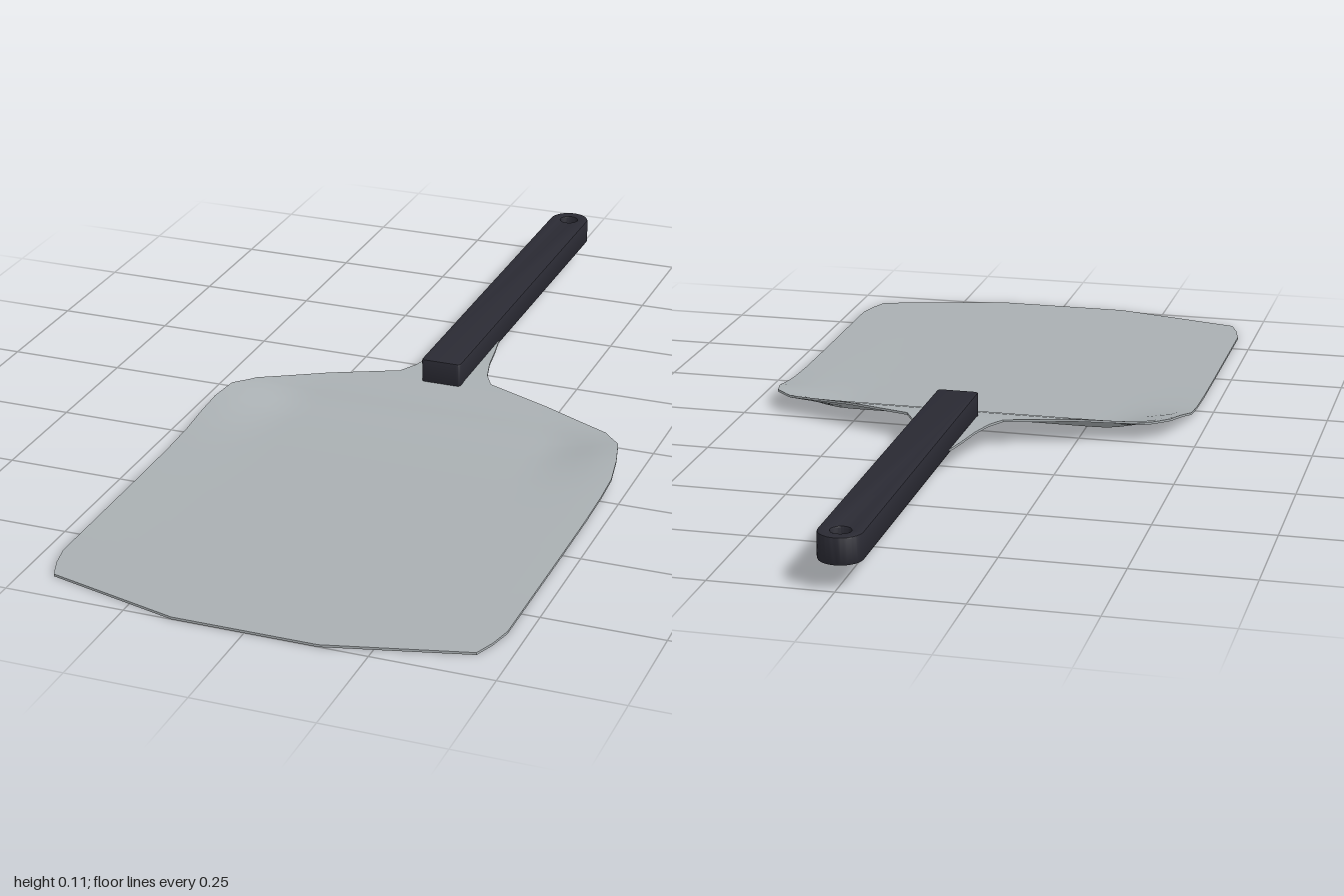
import * as THREE from 'three';
import { toCreasedNormals } from 'three/addons/utils/BufferGeometryUtils.js';

// Linear lookup in a list of [z, value] pairs
function lookup(table, z) {
  for (let i = 1; i < table.length; i++) {
    const [z0, v0] = table[i - 1], [z1, v1] = table[i];
    if (z <= z1) return v0 + ((v1 - v0) * (z - z0)) / (z1 - z0);
  }
  return table[table.length - 1][1];
}

// Half width of the blade outline, tang to front edge
const OUTLINE = [
  [-0.32, 0.044], [-0.26, 0.056], [-0.19, 0.067], [-0.13, 0.083], [-0.09, 0.105],
  [-0.035, 0.25], [0.02, 0.4], [0.06, 0.44], [0.12, 0.455], [0.18, 0.463],
  [0.83, 0.463], [0.88, 0.452], [0.925, 0.435], [1, 0.15],
];
// Height of the top face along the middle, and along the curled sides
const MIDDLE = [
  [-0.32, 0.06], [-0.09, 0.058], [-0.035, 0.053], [0, 0.044], [0.03, 0.028],
  [0.06, 0.013], [0.1, 0.007], [0.18, 0.005], [1, 0.005],
];
const SIDES = [
  [-0.32, 0.06], [-0.09, 0.058], [-0.035, 0.055], [0.02, 0.044], [0.07, 0.04],
  [0.12, 0.032], [0.18, 0.018], [0.25, 0.01], [0.35, 0.006], [0.5, 0.005], [1, 0.005],
];
const THICKNESS = 0.005;

function topHeight(x, z) {
  const curl = THREE.MathUtils.smoothstep(Math.abs(x), 0.28, 0.46);
  return THREE.MathUtils.lerp(lookup(MIDDLE, z), lookup(SIDES, z), curl);
}

// Thin sheet made of closed cross-section loops along z
function bladeGeometry() {
  const zs = [...new Set([...OUTLINE, ...MIDDLE, ...SIDES].map((p) => p[0]))].sort((a, b) => a - b);
  const cols = 33, ring = cols * 2, positions = [], index = [];
  for (const z of zs) {
    const w = lookup(OUTLINE, z);
    for (let k = 0; k < ring; k++) {
      const isTop = k < cols;
      const j = isTop ? k : ring - 1 - k;
      const x = w * ((2 * j) / (cols - 1) - 1);
      positions.push(x, topHeight(x, z) - (isTop ? 0 : THICKNESS), z);
    }
  }
  for (let i = 0; i < zs.length - 1; i++) {
    for (let k = 0; k < ring; k++) {
      const a = i * ring + k, c = i * ring + ((k + 1) % ring);
      index.push(a, a + ring, c, c, a + ring, c + ring);
    }
  }
  // Front and back edges
  const last = (zs.length - 1) * ring;
  for (let k = 0; k < cols - 1; k++) {
    const t = k, b = ring - 1 - k;
    index.push(last + b, last + b - 1, last + t, last + t, last + b - 1, last + t + 1);
    index.push(b, t, b - 1, t, t + 1, b - 1);
  }
  const geometry = new THREE.BufferGeometry();
  geometry.setAttribute('position', new THREE.Float32BufferAttribute(positions, 3));
  geometry.setIndex(index);
  return toCreasedNormals(geometry, 0.7);
}

// Bar with a round back end and a hanging hole
function handleGeometry() {
  const bevel = 0.004, w = 0.045 - bevel, front = -0.06 - bevel, back = -1 + bevel, r = 0.005;
  const shape = new THREE.Shape();
  shape.moveTo(w, back + w);
  shape.lineTo(w, front - r);
  shape.quadraticCurveTo(w, front, w - r, front);
  shape.lineTo(-w + r, front);
  shape.quadraticCurveTo(-w, front, -w, front - r);
  shape.lineTo(-w, back + w);
  shape.absarc(0, back + w, w, Math.PI, Math.PI * 2, false);
  const hole = new THREE.Path();
  hole.absarc(0, -0.955, 0.02 + bevel, 0, Math.PI * 2, true);
  shape.holes.push(hole);
  const geometry = new THREE.ExtrudeGeometry(shape, {
    depth: 0.056 - 2 * bevel, bevelEnabled: true, bevelThickness: bevel,
    bevelSize: bevel, bevelSegments: 2, curveSegments: 12,
  });
  geometry.rotateX(Math.PI / 2);
  geometry.translate(0, 0.107 - bevel, 0);
  return toCreasedNormals(geometry, 0.6);
}

export function createModel() {
  const steel = new THREE.MeshStandardMaterial({ color: 0xa9afb2 });
  steel.name = 'brushed steel';
  const plastic = new THREE.MeshStandardMaterial({ color: 0x2a2a33 });
  plastic.name = 'dark handle';

  const group = new THREE.Group();
  group.name = 'bakingPeel';
  const add = (name, geometry, material) => {
    const mesh = new THREE.Mesh(geometry, material);
    mesh.name = name;
    group.add(mesh);
  };
  add('blade', bladeGeometry(), steel);
  add('handle', handleGeometry(), plastic);
  return group;
}
